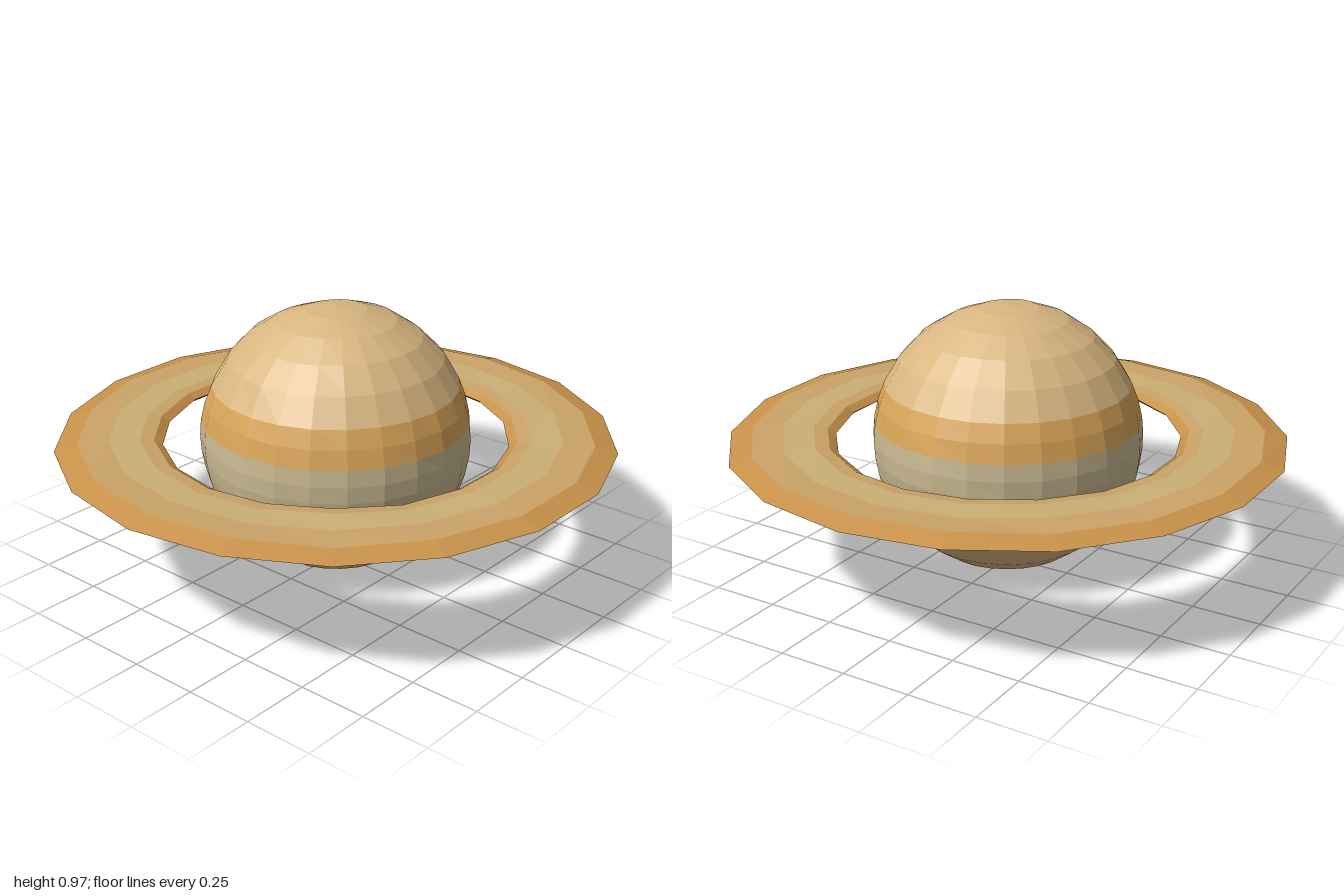
import * as THREE from 'three';

const CENTER_Y = 0.487;
const RADIUS = 0.485;

// Small smooth unevenness, the same for equal positions so bands stay joined
const wobble = (x, y, z) =>
  Math.sin(x * 17 + y * 9) * 0.5 + Math.sin(z * 19 - y * 13 + 1) * 0.3 + Math.sin((x - z) * 29 + y * 23) * 0.2;

function makeMesh(name, geometry, color) {
  const material = new THREE.MeshStandardMaterial({ color, flatShading: true });
  const mesh = new THREE.Mesh(geometry, material);
  mesh.name = name;
  return mesh;
}

// One cloud band of the globe between two heights
function globeBand(name, top, bottom, rows, color) {
  const angle = (y) => Math.acos(THREE.MathUtils.clamp((y - CENTER_Y) / RADIUS, -1, 1));
  const start = angle(top);
  const geometry = new THREE.SphereGeometry(RADIUS, 24, rows, 0, Math.PI * 2, start, angle(bottom) - start);
  const p = geometry.attributes.position;
  for (let i = 0; i < p.count; i++) {
    const [x, y, z] = [p.getX(i), p.getY(i), p.getZ(i)];
    const s = 1 + 0.007 * wobble(x, y, z);
    p.setXYZ(i, x * s, y * s, z * s);
  }
  geometry.translate(0, CENTER_Y, 0);
  geometry.computeVertexNormals();
  return makeMesh(name, geometry, color);
}

// One strip of the 18-sided ring, profile as [radius, height] pairs
function ringStrip(name, profile, color) {
  const points = profile.map(([r, y]) => new THREE.Vector2(r, y));
  const geometry = new THREE.LatheGeometry(points, 18, Math.PI / 18);
  const p = geometry.attributes.position;
  for (let i = 0; i < p.count; i++) {
    const [x, y, z] = [p.getX(i), p.getY(i), p.getZ(i)];
    p.setY(i, y + 0.004 * wobble(x, y, z));
  }
  geometry.computeVertexNormals();
  return makeMesh(name, geometry, color);
}

export function createModel() {
  const model = new THREE.Group();
  model.name = 'ringedPlanet';

  const globe = new THREE.Group();
  globe.name = 'globe';
  globe.add(
    globeBand('northCap', 0.972, 0.69, 5, 0xd9b680),
    globeBand('northBand', 0.69, 0.56, 2, 0xd9a458),
    globeBand('equatorBand', 0.56, 0.38, 3, 0xc9b991),
    globeBand('southBand', 0.38, 0.32, 1, 0xd6b072),
    globeBand('southCap', 0.32, 0.002, 5, 0xd9b680)
  );

  const ring = new THREE.Group();
  ring.name = 'ring';
  ring.add(
    ringStrip('outerRim', [[0.92, 0.465], [1, 0.489], [0.92, 0.512]], 0xc8924a),
    ringStrip('outerBand', [[0.92, 0.512], [0.81, 0.514]], 0xcba468),
    ringStrip('middleBand', [[0.81, 0.514], [0.7, 0.513]], 0xcbb075),
    ringStrip('innerBand', [[0.7, 0.513], [0.65, 0.508]], 0xcba468),
    ringStrip('innerRim', [[0.65, 0.508], [0.62, 0.489], [0.65, 0.468]], 0xc8924a),
    ringStrip('underside', [[0.65, 0.468], [0.7, 0.463], [0.81, 0.462], [0.92, 0.465]], 0xcba468)
  );

  model.add(globe, ring);
  return model;
}
